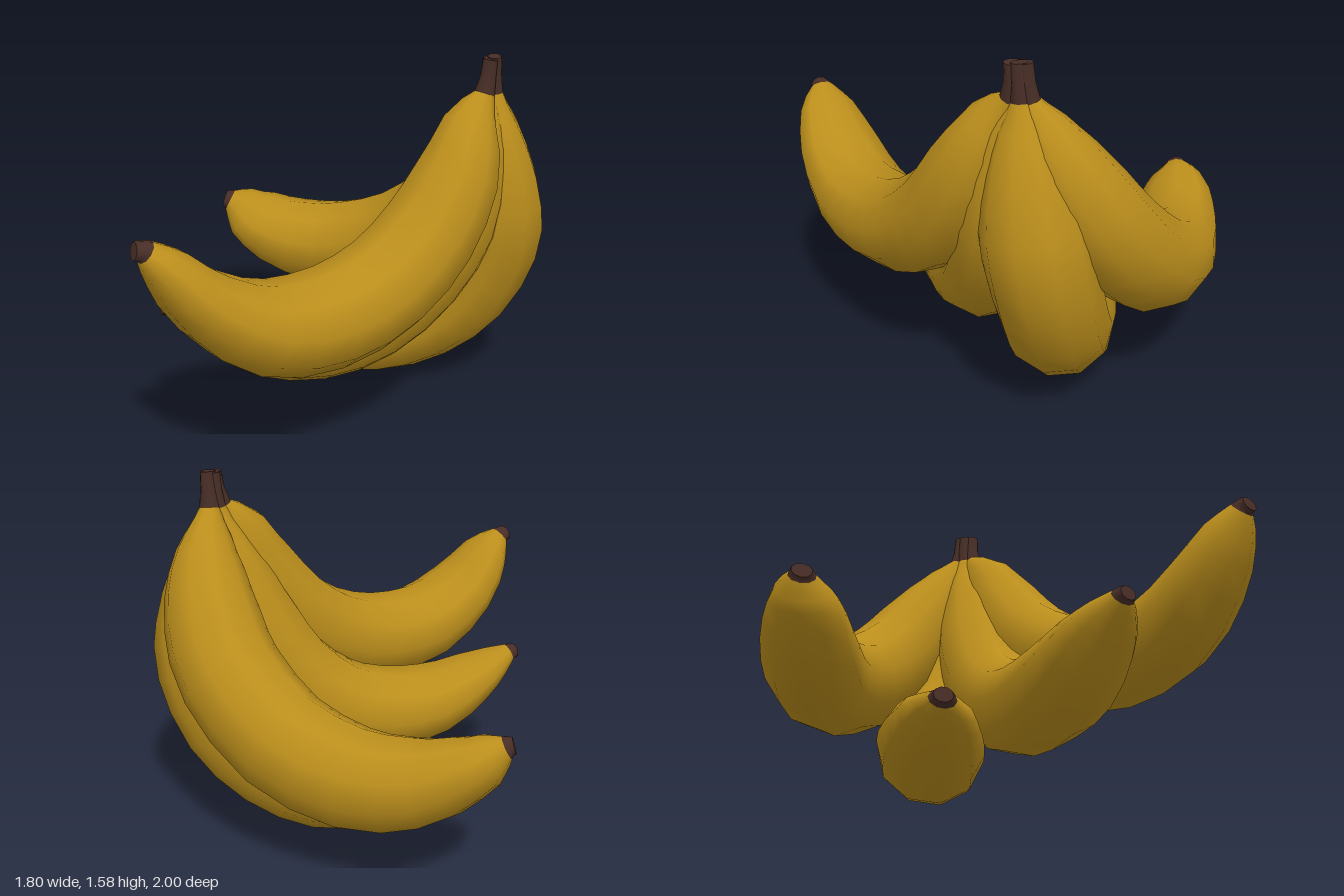
import * as THREE from 'three';

const SIDES = 10; // sides of each fruit
const STEPS = 2; // rings per station

const yellow = new THREE.MeshStandardMaterial({ color: 0xbb8e1c });
yellow.name = 'bananaYellow';
const brown = new THREE.MeshStandardMaterial({ color: 0x472d26 });
brown.name = 'stemBrown';

// Stations from stem to tip: x, y, z, thickness radius, sideways radius.
// The first two stations bound the stem, the last two the dark tip.
const bananas = {
  frontBanana: [
    [0.6, 1.58, 0.105, 0.03, 0.035], [0.58, 1.43, 0.105, 0.048, 0.045],
    [0.505, 1.305, 0.165, 0.125, 0.125], [0.44, 1.11, 0.24, 0.185, 0.19],
    [0.3, 0.88, 0.325, 0.215, 0.22], [0.1, 0.71, 0.445, 0.222, 0.225],
    [-0.15, 0.63, 0.58, 0.216, 0.23], [-0.42, 0.66, 0.71, 0.19, 0.235],
    [-0.64, 0.81, 0.8, 0.14, 0.21], [-0.77, 0.975, 0.855, 0.095, 0.145],
    [-0.845, 1.06, 0.88, 0.048, 0.06], [-0.885, 1.07, 0.895, 0.035, 0.04],
  ],
  secondBanana: [
    [0.605, 1.58, 0.075, 0.03, 0.035], [0.6, 1.43, 0.07, 0.045, 0.045],
    [0.58, 1.3, 0.085, 0.1, 0.11], [0.53, 1.12, 0.105, 0.16, 0.175],
    [0.455, 0.88, 0.115, 0.212, 0.22], [0.3, 0.63, 0.13, 0.22, 0.225],
    [0.08, 0.45, 0.16, 0.218, 0.225], [-0.16, 0.385, 0.205, 0.207, 0.228],
    [-0.4, 0.41, 0.255, 0.172, 0.228], [-0.6, 0.5, 0.3, 0.118, 0.185],
    [-0.72, 0.565, 0.325, 0.075, 0.12], [-0.795, 0.605, 0.34, 0.043, 0.055],
    [-0.83, 0.61, 0.35, 0.033, 0.038],
  ],
  thirdBanana: [
    [0.625, 1.585, 0.08, 0.03, 0.035], [0.625, 1.43, 0.07, 0.045, 0.045],
    [0.635, 1.32, 0.06, 0.09, 0.11], [0.65, 1.16, 0.045, 0.155, 0.175],
    [0.67, 0.92, 0.025, 0.213, 0.225], [0.66, 0.72, -0.01, 0.23, 0.23],
    [0.56, 0.48, -0.07, 0.23, 0.23], [0.38, 0.305, -0.135, 0.225, 0.23],
    [0.15, 0.215, -0.2, 0.215, 0.235], [-0.1, 0.2, -0.255, 0.16, 0.225],
    [-0.31, 0.225, -0.28, 0.1, 0.165], [-0.43, 0.25, -0.29, 0.045, 0.06],
    [-0.465, 0.255, -0.295, 0.035, 0.042],
  ],
  backBanana: [
    [0.63, 1.585, 0.06, 0.03, 0.035], [0.625, 1.43, 0.04, 0.045, 0.045],
    [0.635, 1.325, -0.01, 0.1, 0.105], [0.645, 1.18, -0.08, 0.165, 0.165],
    [0.625, 0.99, -0.19, 0.21, 0.21], [0.55, 0.79, -0.33, 0.226, 0.226],
    [0.345, 0.58, -0.53, 0.226, 0.226], [0.07, 0.48, -0.7, 0.215, 0.22],
    [-0.18, 0.49, -0.79, 0.188, 0.213], [-0.37, 0.57, -0.845, 0.138, 0.18],
    [-0.46, 0.635, -0.87, 0.095, 0.125], [-0.515, 0.67, -0.88, 0.05, 0.06],
    [-0.543, 0.678, -0.885, 0.035, 0.045],
  ],
};

// Rings of points around the curved centre line
function makeRings(stations) {
  const centres = stations.map((s) => new THREE.Vector3(s[0], s[1], s[2]));
  const path = new THREE.CatmullRomCurve3(centres, false, 'catmullrom');
  const radii = new THREE.CatmullRomCurve3(
    stations.map((s) => new THREE.Vector3(s[3], s[4], 0)), false, 'catmullrom');

  // Normal of the plane in which the fruit bends
  const start = centres[0];
  const chord = centres[centres.length - 1].clone().sub(start);
  const bend = centres[Math.floor(centres.length / 2)].clone().sub(start);
  const normal = chord.cross(bend).normalize();

  const count = (stations.length - 1) * STEPS;
  const rings = [];
  for (let i = 0; i <= count; i++) {
    const t = i / count;
    const c = path.getPoint(t);
    const r = radii.getPoint(t);
    const tangent = path.getTangent(t);
    const side = normal.clone().addScaledVector(tangent, -normal.dot(tangent)).normalize();
    const up = tangent.clone().cross(side);
    const ring = [];
    for (let j = 0; j < SIDES; j++) {
      const a = (j / SIDES) * Math.PI * 2;
      ring.push(c.clone().addScaledVector(side, r.y * Math.cos(a)).addScaledVector(up, r.x * Math.sin(a)));
    }
    rings.push(ring);
  }
  return rings;
}

// Smooth skin over rings, with a flat cap on each end
function skin(rings) {
  const points = rings.flat();
  const index = [];
  for (let i = 0; i < rings.length - 1; i++) {
    for (let j = 0; j < SIDES; j++) {
      const k = (j + 1) % SIDES;
      const a = i * SIDES + j, b = i * SIDES + k;
      index.push(a, b, a + SIDES, b, b + SIDES, a + SIDES);
    }
  }
  [[rings[0], true], [rings[rings.length - 1], false]].forEach(([ring, flip]) => {
    const base = points.length;
    points.push(...ring);
    for (let j = 1; j < SIDES - 1; j++) {
      if (flip) index.push(base, base + j + 1, base + j);
      else index.push(base, base + j, base + j + 1);
    }
  });
  const geometry = new THREE.BufferGeometry().setFromPoints(points);
  geometry.setIndex(index);
  geometry.computeVertexNormals();
  return geometry;
}

function makeBanana(name, stations) {
  const banana = new THREE.Group();
  banana.name = name;
  const rings = makeRings(stations);
  const last = rings.length - 1;
  const add = (part, from, to, material) => {
    const mesh = new THREE.Mesh(skin(rings.slice(from, to + 1)), material);
    mesh.name = part;
    banana.add(mesh);
  };
  add('stem', 0, STEPS, brown);
  add('peel', STEPS, last - STEPS, yellow);
  add('tip', last - STEPS, last, brown);
  return banana;
}

export function createModel() {
  const bunch = new THREE.Group();
  bunch.name = 'bananaBunch';
  for (const [name, stations] of Object.entries(bananas)) bunch.add(makeBanana(name, stations));
  return bunch;
}
